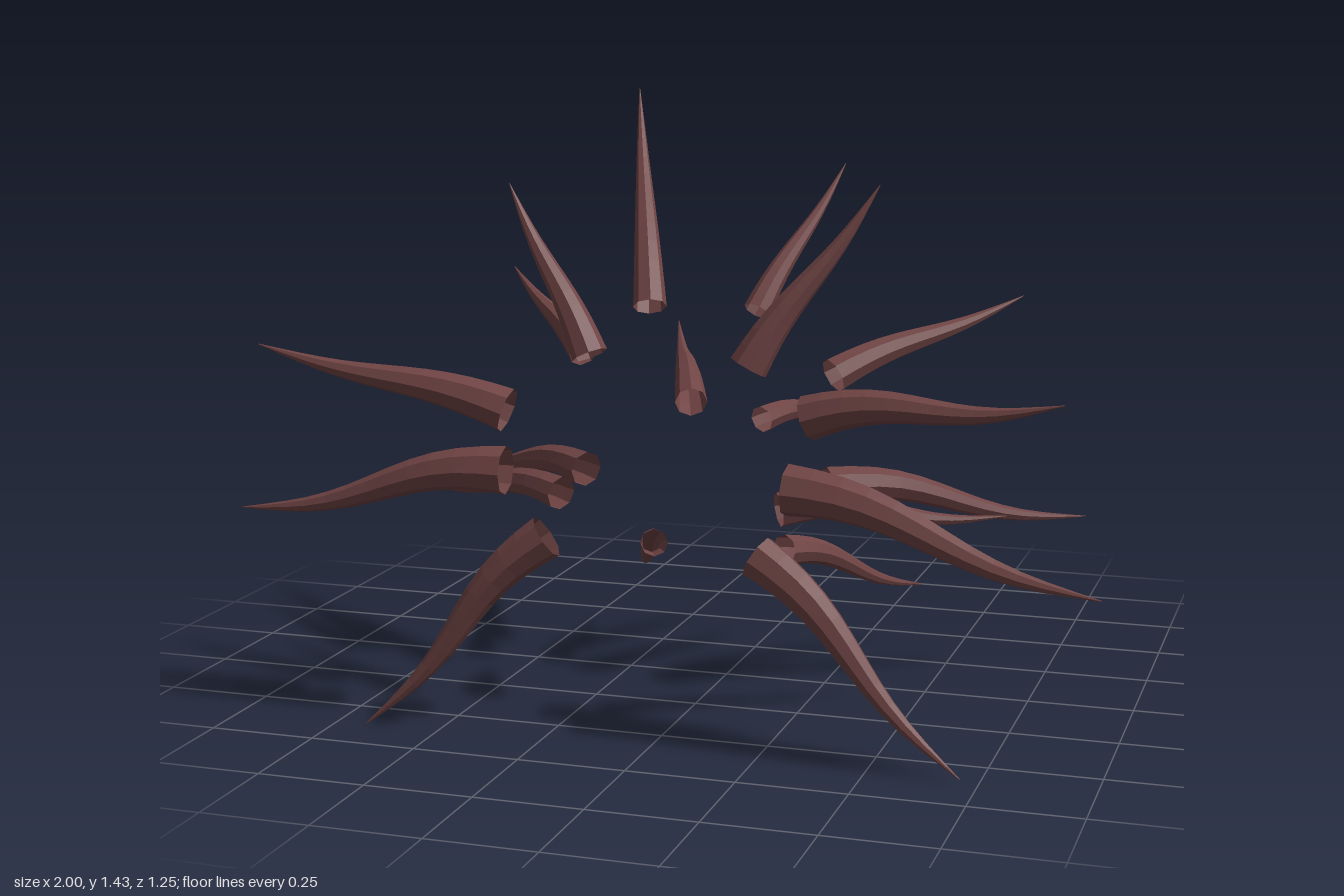
import * as THREE from 'three';

// Each spike: base x, y, z, tip x, y, z, base radius
const SPIKES = {
  crownSpike: [
    [-0.15, 0.93, 0.13, -0.305, 1.427, -0.25, 0.04],
    [0.115, 0.93, 0.13, 0.25, 1.257, -0.17, 0.033],
    [-0.195, 0.855, 0.42, -0.425, 1.23, 0.32, 0.042],
    [0.18, 0.845, 0.42, 0.45, 1.247, 0.315, 0.045],
  ],
  upperSideSpike: [
    [-0.31, 0.815, 0.155, -0.61, 0.978, -0.15, 0.036],
    [0.305, 0.79, 0.15, 0.68, 0.943, -0.225, 0.042],
    [-0.36, 0.735, 0.51, -0.96, 0.865, 0.55, 0.052],
    [0.34, 0.755, 0.51, 0.905, 0.82, 0.555, 0.05],
  ],
  backSpike: [
    [-0.1, 0.675, -0.03, -0.33, 0.785, -0.63, 0.04],
    [0.08, 0.642, -0.03, 0.27, 0.62, -0.447, 0.033],
  ],
  middleSideSpike: [
    [-0.35, 0.605, 0.55, -0.998, 0.485, 0.585, 0.056],
    [0.31, 0.605, 0.56, 0.998, 0.42, 0.595, 0.058],
    [-0.31, 0.53, 0.145, -0.82, 0.462, -0.2, 0.043],
    [0.29, 0.525, 0.14, 0.838, 0.402, -0.26, 0.046],
    [-0.27, 0.53, 0.415, -0.78, 0.485, 0.14, 0.04],
    [0.25, 0.525, 0.415, 0.715, 0.482, 0.14, 0.04],
  ],
  lowerSpike: [
    [-0.26, 0.455, 0.535, -0.678, 0.003, 0.622, 0.052],
    [0.235, 0.445, 0.535, 0.71, 0.01, 0.615, 0.052],
    [-0.17, 0.335, 0.05, -0.34, 0.185, -0.35, 0.034],
    [0.16, 0.34, 0.05, 0.403, 0.16, -0.41, 0.038],
  ],
};

// Hollow tapered horn with a gentle S-bend, swept along rings
function spikeGeometry([bx, by, bz, tx, ty, tz, radius]) {
  const base = new THREE.Vector3(bx, by, bz);
  const axis = new THREE.Vector3(tx, ty, tz).sub(base);
  const length = axis.length();
  const dir = axis.clone().normalize();
  const side = new THREE.Vector3().crossVectors(dir, new THREE.Vector3(0, 1, 0)).normalize();
  const up = new THREE.Vector3().crossVectors(side, dir);
  const sway = (dir.y > 0.2 ? 0.018 : 0.035) * length;
  const centre = (t) => base.clone().addScaledVector(axis, t)
    .addScaledVector(up, sway * Math.sin(2 * Math.PI * t) * (1 - 0.5 * t));

  const rings = 12, sides = 8;
  const geometry = new THREE.CylinderGeometry(1, 1, 1, sides, rings, true);
  const pos = geometry.attributes.position;
  const p = new THREE.Vector3();
  for (let i = 0; i < pos.count; i++) {
    p.fromBufferAttribute(pos, i);
    const t = p.y + 0.5;
    const c = centre(t);
    const tangent = centre(t + 0.01).sub(centre(t - 0.01)).normalize();
    const ringUp = new THREE.Vector3().crossVectors(side, tangent);
    const r = radius * Math.max(0.02, Math.pow(1 - t, 0.85));
    c.addScaledVector(side, p.x * r).addScaledVector(ringUp, -p.z * r);
    pos.setXYZ(i, c.x, c.y, c.z);
  }
  geometry.computeVertexNormals();
  return geometry;
}

export function createModel() {
  const model = new THREE.Group();
  model.name = 'spikeBurst';
  const horn = new THREE.MeshStandardMaterial({ color: 0x704444, flatShading: true, side: THREE.DoubleSide });
  horn.name = 'dark reddish brown';

  // Open-ended spikes grouped by region
  for (const [name, list] of Object.entries(SPIKES)) {
    const group = new THREE.Group();
    group.name = name + 's';
    for (const spike of list) {
      const mesh = new THREE.Mesh(spikeGeometry(spike), horn);
      mesh.name = name;
      group.add(mesh);
    }
    model.add(group);
  }
  return model;
}
